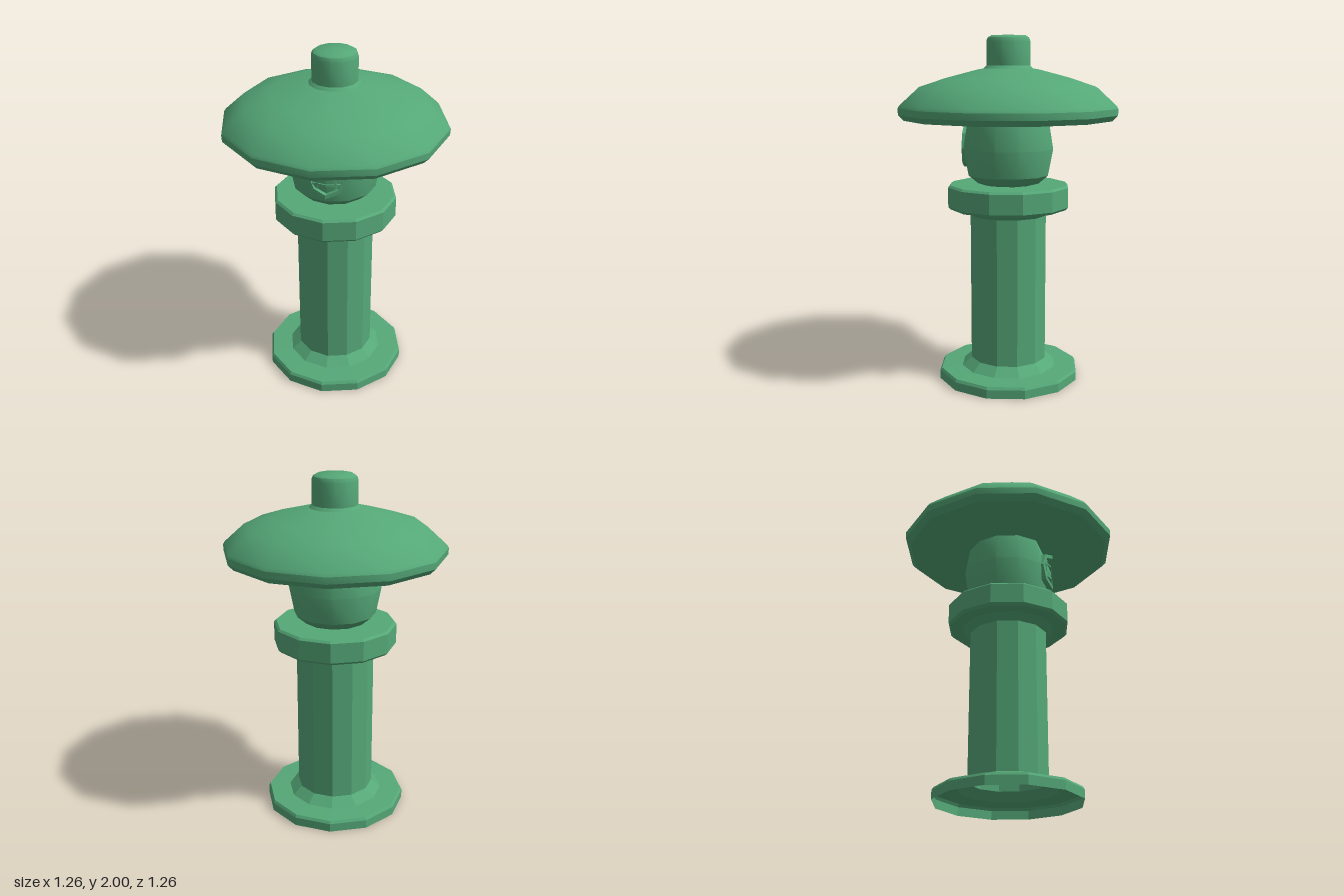
import * as THREE from 'three';
import { toCreasedNormals } from 'three/addons/utils/BufferGeometryUtils.js';

const SIDES = 12;
const smooth = new THREE.MeshStandardMaterial({ color: 0x55a878, side: THREE.DoubleSide });
const flat = new THREE.MeshStandardMaterial({ color: 0x55a878, side: THREE.DoubleSide, flatShading: true });

// Twelve-sided turned shape from [radius, height] pairs, bottom to top
function turned(profile) {
  return new THREE.LatheGeometry(profile.map(([r, y]) => new THREE.Vector2(r, y)), SIDES);
}

function add(group, name, geometry, material) {
  const mesh = new THREE.Mesh(geometry, material);
  mesh.name = name;
  group.add(mesh);
  return mesh;
}

// Move every vertex by a rule
function reshape(geometry, rule) {
  const p = geometry.attributes.position;
  const v = new THREE.Vector3();
  for (let i = 0; i < p.count; i++) {
    rule(v.fromBufferAttribute(p, i));
    p.setXYZ(i, v.x, v.y, v.z);
  }
  geometry.computeVertexNormals();
  return geometry;
}

const octagon = (r) => Array.from({ length: 8 }, (_, i) =>
  new THREE.Vector2(r * Math.cos(i * Math.PI / 4), r * Math.sin(i * Math.PI / 4)));

// Follow the angled front of the lamp globe
const wrap = (v) => { v.z -= 0.25 * Math.abs(v.x); };

function createWindow() {
  const group = new THREE.Group();
  group.name = 'window';
  const shape = new THREE.Shape(octagon(0.117));
  shape.holes.push(new THREE.Path(octagon(0.094)));
  const frame = new THREE.ExtrudeGeometry(shape, { depth: 0.045, bevelEnabled: false });
  add(group, 'windowFrame', reshape(frame, wrap), flat);

  // Two upright and two level glazing bars
  for (const s of [-1, 1]) {
    const upright = new THREE.BoxGeometry(0.012, 0.13, 0.03);
    upright.translate(s * 0.052, 0, 0.021);
    add(group, 'uprightBar', reshape(upright, wrap), flat);
    const level = new THREE.BoxGeometry(0.16, 0.012, 0.03, 2);
    level.translate(0, s * 0.04, 0.021);
    add(group, 'levelBar', reshape(level, wrap), flat);
  }
  group.position.set(0, 1.363, 0.23);
  return group;
}

export function createModel() {
  const model = new THREE.Group();
  model.name = 'gardenLantern';

  // Hollow foot, open underneath
  add(model, 'base', turned([
    [0.415, 0], [0.415, 0.05], [0.405, 0.065], [0.28, 0.07], [0.225, 0.118],
  ]), flat);

  add(model, 'column', turned([[0.225, 0.118], [0.225, 0.978]]), flat);

  // Platform with a flared neck and bevelled rim
  add(model, 'platform', turned([
    [0.225, 0.978], [0.268, 1.015], [0.34, 1.015], [0.355, 1.03],
    [0.355, 1.143], [0.342, 1.155], [0.15, 1.155],
  ]), flat);

  // Lamp globe, set back at the top of its front
  const globe = turned([
    [0.15, 1.155], [0.18, 1.163], [0.235, 1.21], [0.265, 1.363], [0.238, 1.527],
  ]);
  reshape(globe, (v) => { if (v.y > 1.5) v.z = Math.min(v.z, 0.206); });
  add(model, 'globe', toCreasedNormals(globe, 0.56), smooth);
  model.add(createWindow());

  // Broad roof with a flat underside
  add(model, 'roof', toCreasedNormals(turned([
    [0.2, 1.527], [0.6, 1.527], [0.63, 1.558], [0.632, 1.595], [0.622, 1.612],
    [0.51, 1.713], [0.36, 1.762], [0.18, 1.808], [0.145, 1.814],
  ]), 0.56), smooth);

  // Knob with a small fillet and rounded top
  add(model, 'knob', toCreasedNormals(turned([
    [0.145, 1.814], [0.128, 1.83], [0.128, 1.965], [0.12, 1.985], [0.1, 1.997], [0, 2],
  ]), 0.56), smooth);

  return model;
}
